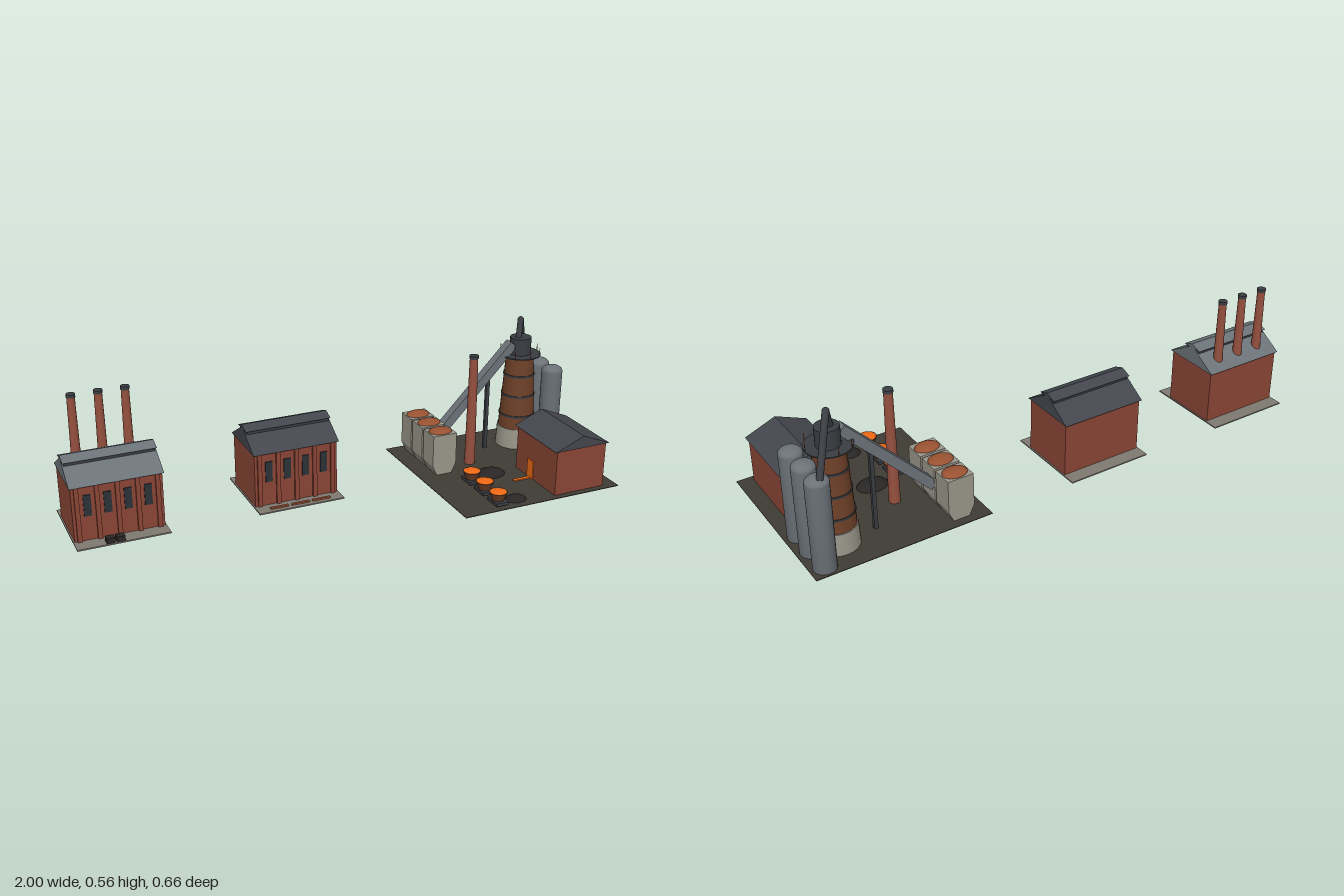
import * as THREE from 'three';

const G = 0.026; // ground level
const mats = {};
const mat = (c) => (mats[c] ??= new THREE.MeshStandardMaterial({ color: c, side: THREE.DoubleSide }));
const BRICK = 0x8a4535, STACK = 0x95503e, DARK = 0x3a3d42, GREY = 0x6b7278, SLATE = 0x43464d,
  RUST = 0x6e4028, CONCRETE = 0x9a968a, COAL = 0x292725, HOT = 0xf06a14, GLASS = 0x2c3137, ORE = 0x9a5232;

function add(parent, name, geo, color, x = 0, y = 0, z = 0) {
  const m = new THREE.Mesh(geo, mat(color));
  m.name = name;
  m.position.set(x, y, z);
  parent.add(m);
  return m;
}

// Box given by its centre in x and z and its bottom and top heights
const block = (p, name, color, x, z, w, d, y0, y1) =>
  add(p, name, new THREE.BoxGeometry(w, y1 - y0, d), color, x, (y0 + y1) / 2, z);

// Upright cylinder between two heights
const drum = (p, name, color, x, z, r0, r1, y0, y1, n = 24) =>
  add(p, name, new THREE.CylinderGeometry(r1, r0, y1 - y0, n), color, x, (y0 + y1) / 2, z);

// Prism from a profile, centred along its length; along 'x' or 'z'
function prism(p, name, color, pts, length, axis, x, z) {
  const shape = new THREE.Shape(pts.map(([a, b]) => new THREE.Vector2(a, b)));
  const geo = new THREE.ExtrudeGeometry(shape, { depth: length, bevelEnabled: false });
  geo.translate(0, 0, -length / 2);
  if (axis === 'x') geo.rotateY(-Math.PI / 2);
  return add(p, name, geo, color, x, 0, z);
}

// Round pipe between two points
function pipe(p, name, color, a, b, r) {
  const va = new THREE.Vector3(...a), vb = new THREE.Vector3(...b);
  const m = add(p, name, new THREE.CylinderGeometry(r, r, va.distanceTo(vb), 16), color);
  m.position.copy(va).lerp(vb, 0.5);
  m.quaternion.setFromUnitVectors(new THREE.Vector3(0, 1, 0), vb.sub(va).normalize());
}

function chimney(p, x, z, y0, top, r0, r1) {
  drum(p, 'chimney', STACK, x, z, r0, r1, y0, top - 0.012);
  drum(p, 'chimneyCap', DARK, x, z, r1 + 0.002, r1 + 0.002, top - 0.012, top);
}

// Brick mill hall with a raised ridge vent
function millHall(name, x, roofColor) {
  const g = new THREE.Group(), z = -0.17;
  g.name = name;
  g.position.x = x;
  block(g, 'pavement', 0x7f7a72, 0, -0.167, 0.335, 0.334, 0.021, G);
  block(g, 'walls', BRICK, 0, z, 0.325, 0.22, 0.022, 0.236);
  prism(g, 'roof', roofColor, [[-0.12, 0.234], [0.12, 0.234], [0, 0.306]], 0.335, 'x', 0, z);
  block(g, 'ridgeVent', DARK, 0, z, 0.325, 0.07, 0.26, 0.3);
  prism(g, 'ridgeVentRoof', roofColor, [[-0.0425, 0.298], [0.0425, 0.298], [0, 0.314]], 0.335, 'x', 0, z);
  for (let i = 0; i < 5; i++)
    block(g, 'pilaster', BRICK, -0.144 + i * 0.072, -0.058, 0.016, 0.012, G, 0.234);
  for (let i = 0; i < 4; i++)
    block(g, 'window', GLASS, -0.108 + i * 0.072, -0.059, 0.027, 0.006, 0.12, 0.2);
  return g;
}

function blastFurnace() {
  const g = new THREE.Group(), x = 0.853, z = -0.187;
  g.name = 'blastFurnace';
  drum(g, 'hearth', CONCRETE, x, z, 0.08, 0.076, G, 0.108, 32);
  drum(g, 'shaft', RUST, x, z, 0.072, 0.054, 0.108, 0.41, 32);
  for (const y of [0.16, 0.244, 0.328]) {
    const r = 0.073 - (y - 0.108) * 0.06;
    drum(g, 'hoop', DARK, x, z, r + 0.002, r + 0.002, y - 0.004, y + 0.004, 32);
  }
  drum(g, 'gallery', DARK, x, z, 0.082, 0.082, 0.408, 0.412, 32);
  for (let i = 0; i < 8; i++) {
    const a = (i / 8) * Math.PI * 2;
    block(g, 'railingPost', ORE, x + Math.cos(a) * 0.079, z + Math.sin(a) * 0.079, 0.002, 0.002, 0.412, 0.44);
  }
  drum(g, 'furnaceTop', DARK, x, z, 0.042, 0.042, 0.412, 0.48, 32);
  // gas pipe up from the top and down to the rear stove
  const peak = [0.86, 0.545, -0.207];
  pipe(g, 'gasUptake', DARK, [0.842, 0.47, -0.187], peak, 0.012);
  pipe(g, 'gasDowncomer', DARK, peak, [0.941, 0.37, -0.303], 0.012);
  add(g, 'gasElbow', new THREE.SphereGeometry(0.0125, 16, 10), DARK, ...peak);
  return g;
}

// Tall stove with a shallow domed top
function stove(g, z) {
  const pts = [[0, G], [0.041, G], [0.041, 0.357]].map(([r, y]) => new THREE.Vector2(r, y));
  for (let i = 1; i <= 8; i++) {
    const a = (i / 8) * Math.PI / 2;
    pts.push(new THREE.Vector2(0.041 * Math.cos(a), 0.357 + 0.023 * Math.sin(a)));
  }
  add(g, 'stove', new THREE.LatheGeometry(pts, 28), GREY, 0.944, 0, z);
}

// Hopper narrowing at the foot, heaped with ore
function bunker(g, z) {
  prism(g, 'oreBunker', CONCRETE,
    [[-0.028, 0.018], [0.028, 0.018], [0.05, 0.065], [0.05, 0.19], [-0.05, 0.19], [-0.05, 0.065]],
    0.083, 'z', 0.44, z);
  const heap = add(g, 'oreHeap', new THREE.SphereGeometry(1, 24, 12), ORE, 0.44, 0.19, z);
  heap.scale.set(0.047, 0.014, 0.036);
}

function ladle(g, z) {
  block(g, 'ladleCart', DARK, 0.502, z, 0.05, 0.07, G + 0.004, 0.042);
  drum(g, 'ladle', RUST, 0.502, z, 0.022, 0.035, 0.04, 0.073);
  const melt = add(g, 'moltenMetal', new THREE.SphereGeometry(1, 20, 10), HOT, 0.502, 0.072, z);
  melt.scale.set(0.032, 0.007, 0.032);
}

function coalPile(g, x, y, z, rx, ry, rz) {
  add(g, 'coalPile', new THREE.SphereGeometry(1, 24, 14), COAL, x, y, z).scale.set(rx, ry, rz);
}

function furnaceYard() {
  const g = new THREE.Group();
  g.name = 'furnaceYard';
  block(g, 'yardGround', 0x3f3b34, 0.667, -0.002, 0.66, 0.663, 0.0235, G);
  g.add(blastFurnace());
  for (const z of [-0.089, -0.186, -0.285]) stove(g, z);
  for (const z of [-0.072, -0.166, -0.259]) bunker(g, z);
  for (const z of [0.075, 0.173, 0.272]) ladle(g, z);
  coalPile(g, 0.604, 0.0235, 0.042, 0.06, 0.0235, 0.046);
  coalPile(g, 0.58, 0.024, 0.27, 0.042, 0.017, 0.034);
  chimney(g, 0.582, -0.083, G, 0.475, 0.021, 0.016);

  // inclined conveyor from the bunkers to the furnace top
  const dx = 0.325, dy = 0.335;
  const belt = add(g, 'conveyor', new THREE.BoxGeometry(Math.hypot(dx, dy), 0.036, 0.037), GREY, 0.65, 0.29, -0.187);
  belt.rotation.z = Math.atan2(dy, dx);
  block(g, 'conveyorPost', DARK, 0.71, -0.187, 0.014, 0.014, G, 0.34);

  // casting house
  block(g, 'castHouseWalls', BRICK, 0.834, 0.167, 0.213, 0.276, 0.024, 0.206);
  prism(g, 'castHouseRoof', SLATE, [[-0.117, 0.204], [0.117, 0.204], [0, 0.252]], 0.29, 'z', 0.834, 0.166);
  block(g, 'glowingDoor', HOT, 0.727, 0.133, 0.006, 0.04, G, 0.1);
  block(g, 'tappingRunner', HOT, 0.69, 0.133, 0.075, 0.014, G, 0.03);
  return g;
}

export function createModel() {
  const root = new THREE.Group();
  root.name = 'steelworks';

  const steelMill = millHall('chimneyMill', -0.831, GREY);
  for (const x of [-0.096, 0, 0.096]) chimney(steelMill, x, -0.24, 0.23, 0.505, 0.018, 0.0145);
  for (const x of [-0.048, -0.012]) block(steelMill, 'coalCart', COAL, x, -0.016, 0.03, 0.027, G, 0.046);
  root.add(steelMill);

  const rollingMill = millHall('rollingMill', -0.164, SLATE);
  for (const x of [-0.083, 0, 0.083]) block(rollingMill, 'hotSlab', ORE, x, -0.022, 0.07, 0.01, G, 0.032);
  root.add(rollingMill);

  root.add(furnaceYard());
  return root;
}
